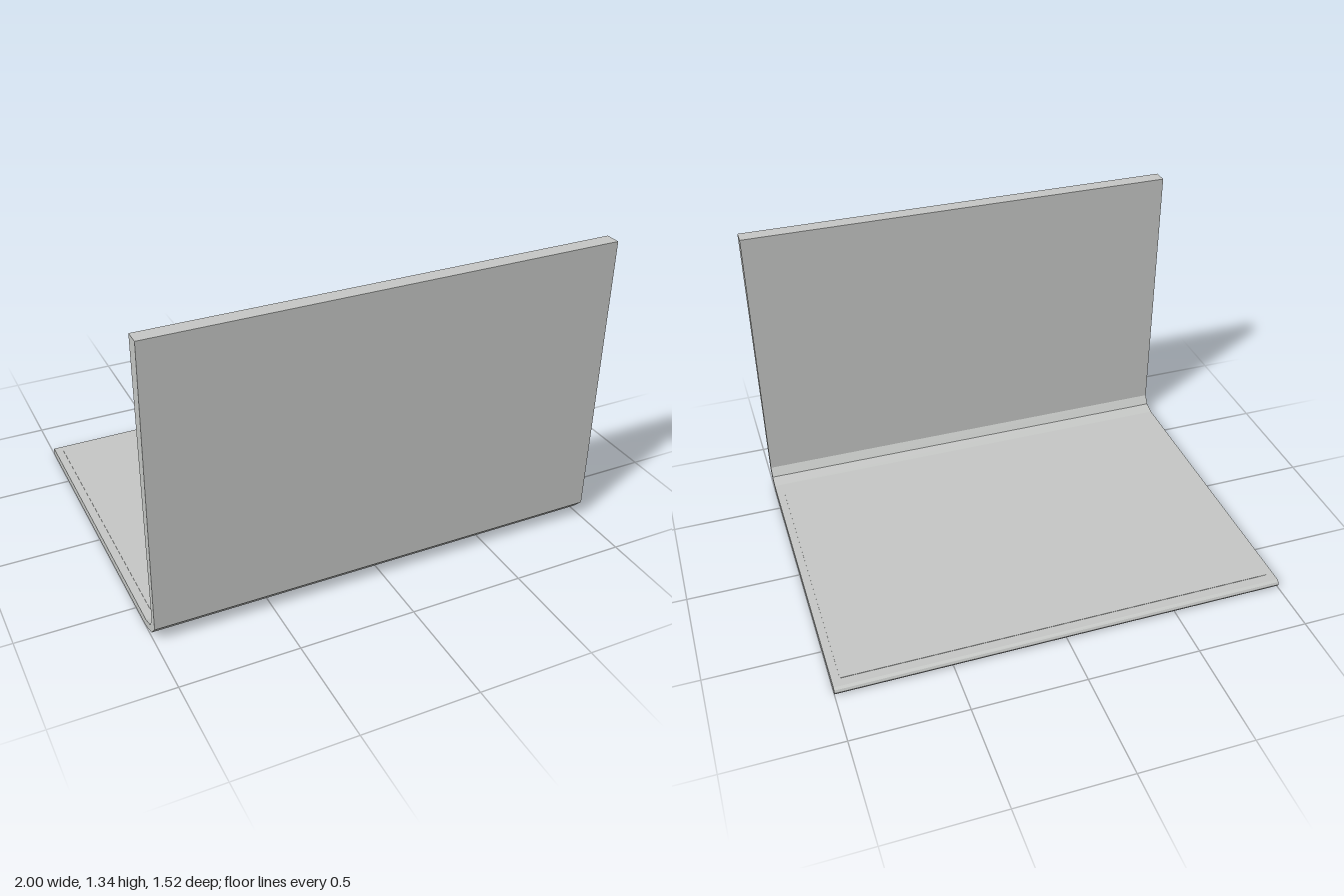
import * as THREE from 'three';

// Side profile as [z, y]: upright panel, chamfered bend, flat base, rounded edge
const PROFILE = [
  [0.762, 1.337], [0.739, 0.07], [0.698, 0.026], [0.633, 0.004], [0.6, 0],
  [-0.745, 0], [-0.756, 0.008], [-0.762, 0.019], [-0.757, 0.03], [-0.746, 0.037],
  [0.63, 0.037], [0.683, 0.053], [0.709, 0.092], [0.696, 1.337],
];
const WIDTH = 2;

export function createModel() {
  const model = new THREE.Group();
  model.name = 'foldedPanel';
  const grey = new THREE.MeshStandardMaterial({ color: 0xc4c6c4 });
  grey.name = 'light grey';

  // One bent sheet swept across the full width
  const shape = new THREE.Shape(PROFILE.map(([z, y]) => new THREE.Vector2(-z, y)));
  const sheet = new THREE.ExtrudeGeometry(shape, { depth: WIDTH, bevelEnabled: false });
  sheet.rotateY(Math.PI / 2).translate(-WIDTH / 2, 0, 0);
  const body = new THREE.Mesh(sheet, grey);
  body.name = 'bentSheet';
  model.add(body);

  // Thin inset plate on top of the base
  const plate = new THREE.Mesh(new THREE.BoxGeometry(1.93, 0.004, 1.28), grey);
  plate.name = 'basePlate';
  plate.position.set(0, 0.037, -0.065);
  model.add(plate);

  return model;
}
